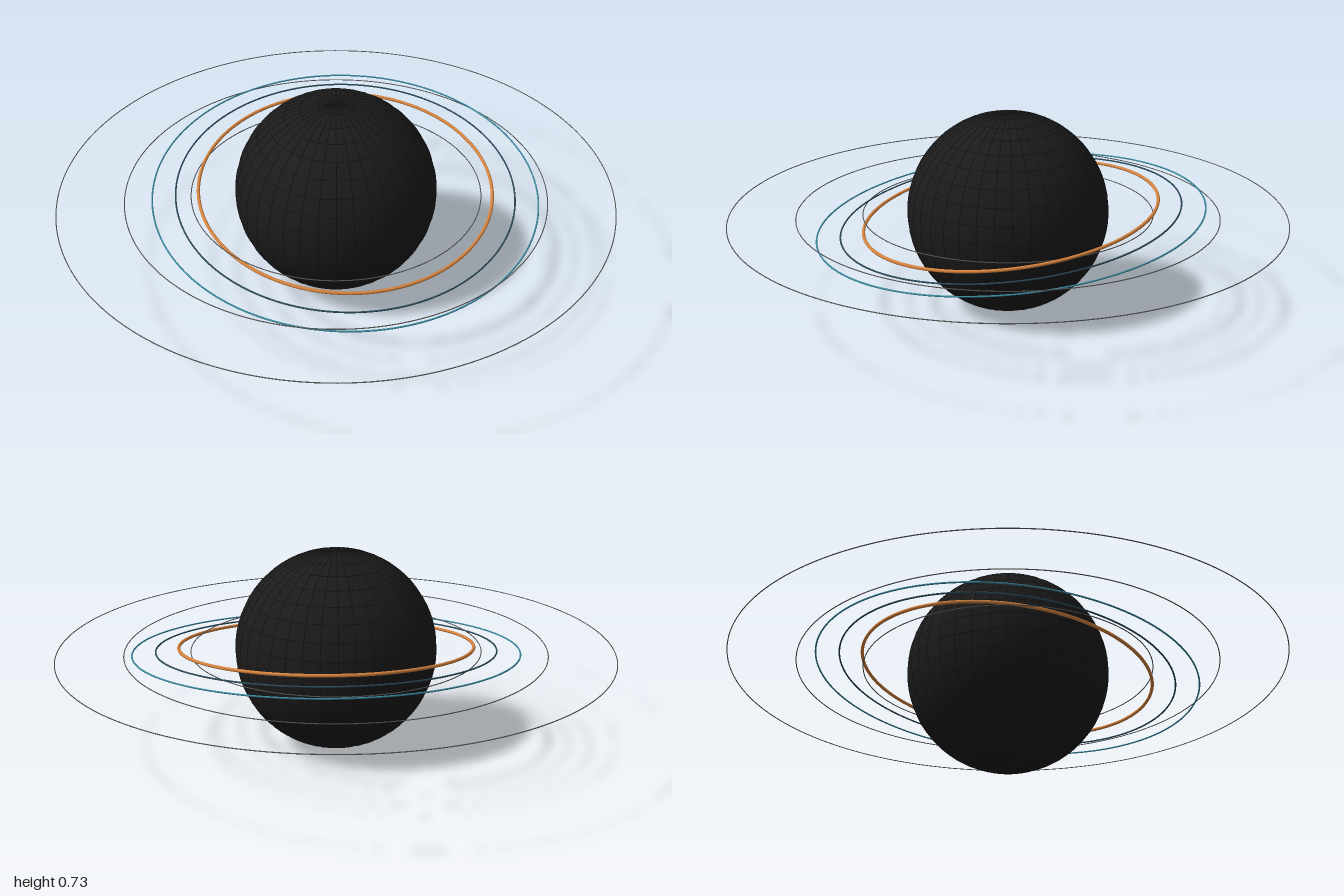
import * as THREE from 'three';

const CENTER_Y = 0.364;
const RADIUS = 0.362;

const paint = (name, color) => {
  const m = new THREE.MeshStandardMaterial({ color });
  m.name = name;
  return m;
};

export function createModel() {
  const model = new THREE.Group();
  model.name = 'ringedSphere';

  const shell = paint('charcoal', 0x1b1b1b);
  const seam = paint('black', 0x111111);
  const grey = paint('grey', 0x555555);
  const copper = paint('copper', 0xd9853f);
  const slate = paint('slate', 0x2a4a58);
  const teal = paint('teal', 0x3a8aa0);

  const add = (parent, name, geometry, material) => {
    const mesh = new THREE.Mesh(geometry, material);
    mesh.name = name;
    parent.add(mesh);
    return mesh;
  };

  // Globe with a latitude and longitude grid of thin seams
  const globe = new THREE.Group();
  globe.name = 'globe';
  globe.position.y = CENTER_Y;
  model.add(globe);
  add(globe, 'globeShell', new THREE.SphereGeometry(RADIUS, 72, 36), shell);

  const seamWidth = 0.0015;
  const meridian = new THREE.TorusGeometry(RADIUS, seamWidth, 4, 72);
  for (let i = 0; i < 18; i++) {
    add(globe, 'meridianSeam', meridian, seam).rotation.y = (i * Math.PI) / 18;
  }
  for (let i = 1; i < 18; i++) {
    const polar = (i * Math.PI) / 18;
    const parallel = new THREE.TorusGeometry(RADIUS * Math.sin(polar), seamWidth, 4, 72);
    parallel.rotateX(Math.PI / 2);
    add(globe, 'parallelSeam', parallel, seam).position.y = RADIUS * Math.cos(polar);
  }

  // Hair-thin rings: [name, radius, tube, x, y, tilt in degrees, material]
  const rings = [
    ['innerLevelRing', 0.522, 0.0018, 0, 0.367, 0, grey],
    ['middleLevelRing', 0.759, 0.0018, 0, 0.367, 0, grey],
    ['outerLevelRing', 0.9982, 0.0018, 0, 0.367, 0, grey],
    ['copperTiltedRing', 0.53, 0.006, 0.035, 0.376, 7.1, copper],
    ['slateTiltedRing', 0.612, 0.003, 0.035, 0.366, 6.3, slate],
    ['tealTiltedRing', 0.696, 0.003, 0.035, 0.358, 5.5, teal],
  ];
  for (const [name, radius, tube, x, y, tilt, material] of rings) {
    const geometry = new THREE.TorusGeometry(radius, tube, 8, 180);
    geometry.rotateX(Math.PI / 2);
    const ring = add(model, name, geometry, material);
    ring.position.set(x, y, 0);
    ring.rotation.x = THREE.MathUtils.degToRad(tilt);
  }

  return model;
}
